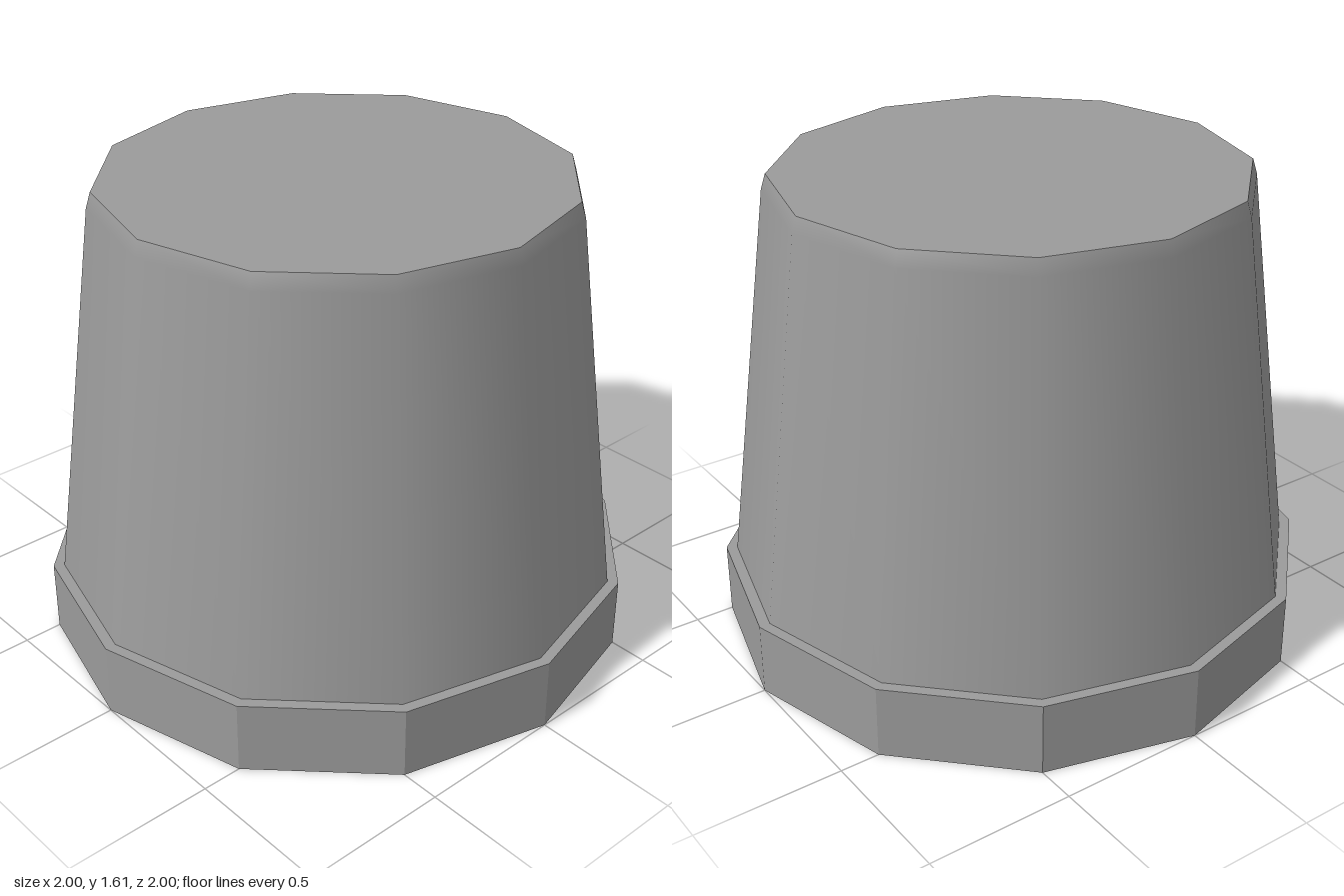
import * as THREE from 'three';

const SIDES = 12;

export function createModel() {
  const group = new THREE.Group();
  const smooth = new THREE.MeshStandardMaterial({ color: 0x9b9b9b });
  const flat = new THREE.MeshStandardMaterial({ color: 0x9b9b9b, flatShading: true });

  const add = (name, geometry, material, y = 0) => {
    const mesh = new THREE.Mesh(geometry, material);
    mesh.name = name;
    mesh.position.y = y;
    group.add(mesh);
  };

  // Faceted base ring, closed above and below
  add('baseRim', new THREE.CylinderGeometry(1, 1, 0.25, SIDES), flat, 0.125);

  // Tapered wall with a small bevel at its top, smooth shaded
  const profile = [[0.963, 0.25], [0.794, 1.56], [0.778, 1.612]]
    .map(([r, y]) => new THREE.Vector2(r, y));
  const body = new THREE.LatheGeometry(profile, SIDES);
  body.normalizeNormals();
  add('taperedBody', body, smooth);

  // Flat lid
  add('topCap', new THREE.CircleGeometry(0.778, SIDES).rotateX(-Math.PI / 2), flat, 1.612);

  return group;
}
